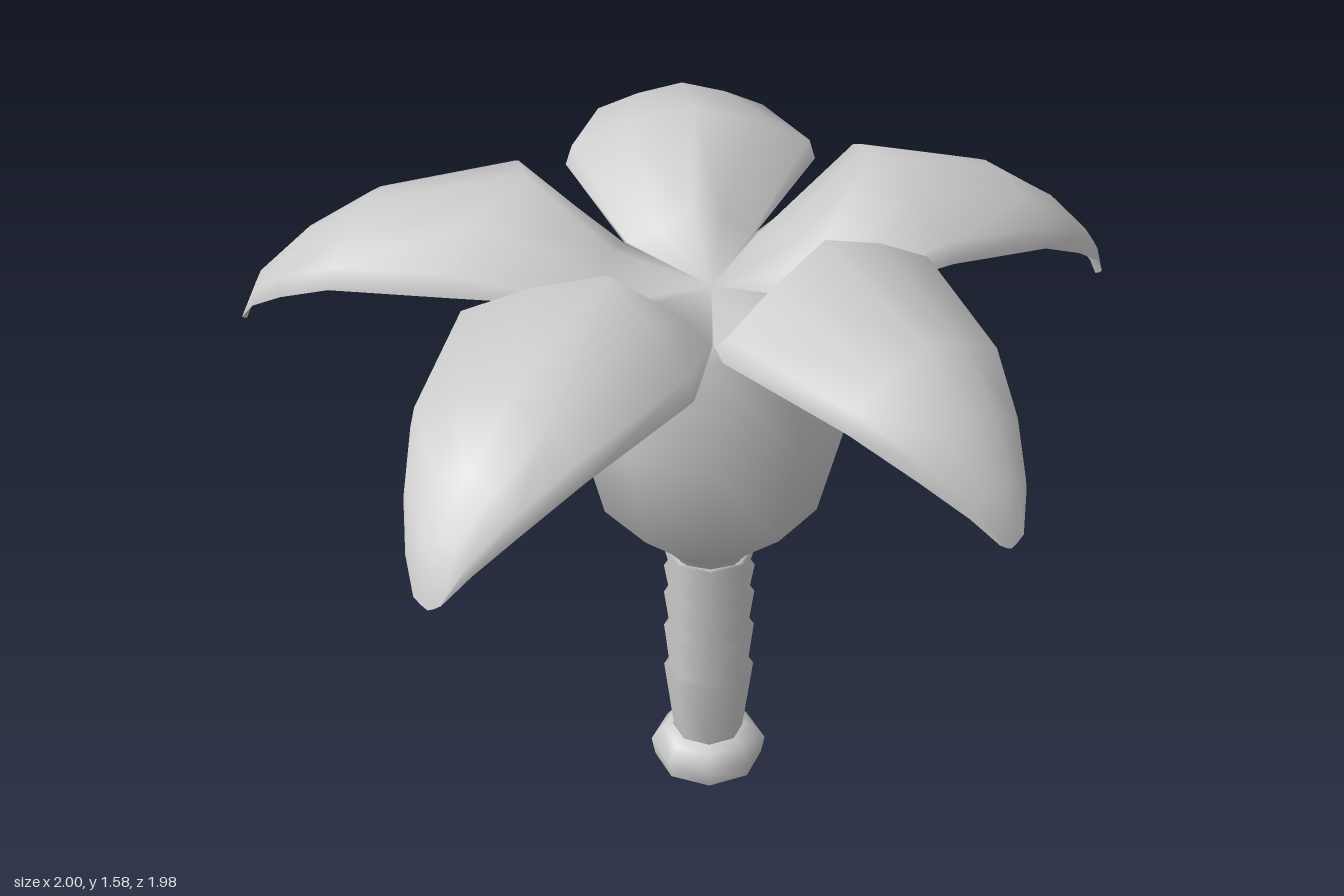
import * as THREE from 'three';
import { mergeVertices } from 'three/addons/utils/BufferGeometryUtils.js';

const CX = 0.07, CZ = 0.09; // axis of the stem

// Leaves in plan, each [x, z]: tip, left shoulder, right shoulder; then the blade's lift
const LEAVES = [
  [[0, -0.985], [0.325, -0.42], [-0.255, -0.4], 0],
  [[0.99, -0.345], [0.6, 0.09], [0.41, -0.41], 0],
  [[0.655, 0.86], [0.08, 0.575], [0.54, 0.22], 0.045],
  [[-0.515, 0.975], [-0.48, 0.34], [0.02, 0.635], -0.01],
  [[-0.99, -0.17], [-0.37, -0.34], [-0.5, 0.22], 0],
];
// Notches between each leaf and the next
const NOTCHES = [[0.18, -0.16], [0.33, 0.16], [0.07, 0.35], [-0.17, 0.18], [-0.12, -0.11]];

// Blade sections, shoulder to tip: [midrib reach, midrib y, edge reach past shoulders, width, rim y, rim depth]
const SECTIONS = [
  [0.385, 1.53, 0, 1, 1.4, 0.05],
  [0.72, 1.42, 0.52, 0.72, 1.345, 0.05],
  [0.86, 1.32, 0.76, 0.48, 1.27, 0.045],
  [0.96, 1.21, 0.92, 0.27, 1.19, 0.03],
  [1, 1.08, 1, 0.11, 1.1, 0],
];
// Across the leaf: [side, share of the fall to the rim, share of the rim depth]
const COLUMNS = [[-1, 1, 1], [-0.95, 1, 0], [-0.5, 0.42, 0], [0, 0, 0], [0.5, 0.42, 0], [0.95, 1, 0], [1, 1, 1]];

const mix = (a, b, t) => a.map((v, k) => v + (b[k] - v) * t);

// One continuous surface: five arched leaves joined around a shallow bowl
function crownGeometry() {
  const positions = [], index = [], centre = [CX, CZ], row = COLUMNS.length;
  LEAVES.forEach(([tip, left, right, lift], n) => {
    const start = positions.length / 3;
    const addRow = (mid, l, r, ym, ye, depth) => COLUMNS.forEach(([s, fall, rim]) => {
      const [x, z] = mix(mid, s < 0 ? l : r, Math.abs(s));
      positions.push(x, ym + (ye - ym) * fall - depth * rim, z);
    });
    const l0 = NOTCHES[n], r0 = NOTCHES[(n + 4) % 5];
    addRow(centre, centre, centre, 1.3, 1.3, 0);
    addRow(mix(l0, r0, 0.5), l0, r0, 1.36, 1.3, 0);
    const shoulder = mix(left, right, 0.5);
    for (const [um, ym, ue, w, ye, depth] of SECTIONS) {
      const shift = mix([0, 0], [tip[0] - shoulder[0], tip[1] - shoulder[1]], ue);
      const edge = (p) => mix(shoulder, p, w).map((v, k) => v + shift[k]);
      addRow(mix(centre, tip, um), edge(left), edge(right), ym + lift, ye + lift, depth);
    }
    for (let i = 0; i <= SECTIONS.length; i++) {
      for (let j = 0; j < row - 1; j++) {
        const a = start + i * row + j, c = a + row;
        index.push(a, c, c + 1);
        if (i > 0) index.push(a, c + 1, a + 1);
      }
    }
  });
  const g = new THREE.BufferGeometry();
  g.setAttribute('position', new THREE.Float32BufferAttribute(positions, 3));
  g.setIndex(index);
  const merged = mergeVertices(g, 1e-4);
  merged.computeVertexNormals();
  return merged;
}

export function createModel() {
  const model = new THREE.Group();
  model.name = 'palmPlant';
  const material = new THREE.MeshStandardMaterial({ color: 0xcccccc, side: THREE.DoubleSide });

  const lathe = (name, profile, sides) => {
    const points = profile.map(([r, y]) => new THREE.Vector2(r, y));
    const geometry = new THREE.LatheGeometry(points, sides);
    geometry.normalizeNormals();
    const mesh = new THREE.Mesh(geometry, material);
    mesh.name = name;
    mesh.position.set(CX, 0, CZ);
    model.add(mesh);
  };

  // Foot, then a stem of stacked segments, each flaring to a ledge at its top
  lathe('footUnderside', [[0, 0], [0.128, 0]], 8);
  lathe('foot', [[0.128, 0], [0.137, 0.045], [0.11, 0.08], [0.085, 0.09]], 8);
  const stem = [[0.082, 0.085]];
  for (const y of [0.27, 0.385, 0.48, 0.555, 0.605]) stem.push([0.106, y], [0.093, y + 0.002]);
  lathe('stem', stem, 8);

  // Swollen bulb under the crown
  lathe('bulb', [[0.09, 0.6], [0.105, 0.63], [0.253, 0.76], [0.32, 1.02], [0.27, 1.26], [0.25, 1.3]], 10);

  const crown = new THREE.Mesh(crownGeometry(), material);
  crown.name = 'leafCrown';
  model.add(crown);
  return model;
}
